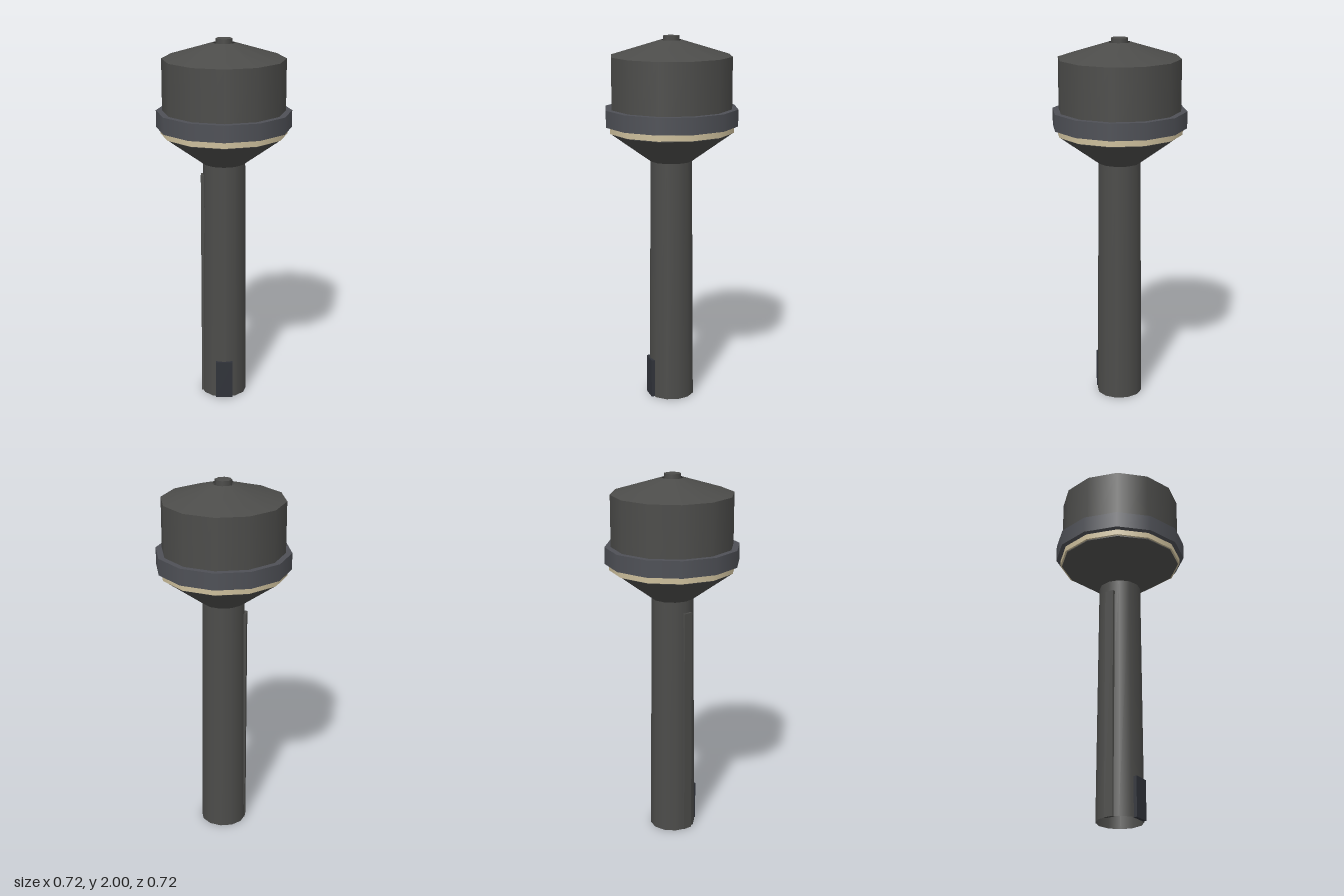
import * as THREE from 'three';

const SIDES = 12;
const paint = (color) => new THREE.MeshStandardMaterial({ color, side: THREE.DoubleSide });

export function createModel() {
  const model = new THREE.Group();
  const body = paint(0x4c4c4a);
  const trim = paint(0x4e5056);
  const cream = paint(0xcdbf9c);
  const doorPaint = paint(0x30333a);

  const add = (name, geometry, material, x, y, z, parent = model) => {
    const mesh = new THREE.Mesh(geometry, material);
    mesh.name = name;
    mesh.position.set(x, y, z);
    parent.add(mesh);
    return mesh;
  };

  // Open twelve-sided shell between two heights
  const shell = (name, rBottom, rTop, y0, y1, material, parent) =>
    add(name, new THREE.CylinderGeometry(rTop, rBottom, y1 - y0, SIDES, 1, true),
      material, 0, (y0 + y1) / 2, 0, parent);

  // Band around the tank: outer wall with flat rims above and below
  const band = (name, rInner, rOuter, y0, y1, material) => {
    const group = new THREE.Group();
    group.name = name;
    model.add(group);
    shell(name + 'Wall', rOuter, rOuter, y0, y1, material, group);
    for (const [part, y, turn] of [['Top', y1, -1], ['Underside', y0, 1]]) {
      const rim = new THREE.RingGeometry(rInner, rOuter, SIDES);
      rim.rotateX(turn * Math.PI / 2);
      add(name + part, rim, material, 0, y, 0, group);
    }
  };

  // Tower and tank
  shell('shaft', 0.125, 0.114, 0, 1.335, body);
  shell('tankFunnel', 0.114, 0.328, 1.335, 1.49, body);
  shell('tankWall', 0.328, 0.328, 1.49, 1.895, body);
  shell('roof', 0.328, 0.058, 1.895, 1.978, body);

  // Bands
  band('creamStripe', 0.32, 0.338, 1.495, 1.525, cream);
  band('walkway', 0.32, 0.361, 1.53, 1.62, trim);

  // Roof vent, standing free inside the roof opening
  add('vent', new THREE.CylinderGeometry(0.045, 0.045, 0.04, 8), body, 0, 1.98, 0);

  // Door at the front, service duct up the side
  add('door', new THREE.BoxGeometry(0.092, 0.215, 0.02), doorPaint, 0, 0.1075, 0.12);
  add('serviceDuct', new THREE.BoxGeometry(0.018, 1.27, 0.05), body, -0.116, 0.635, 0.01);

  return model;
}
